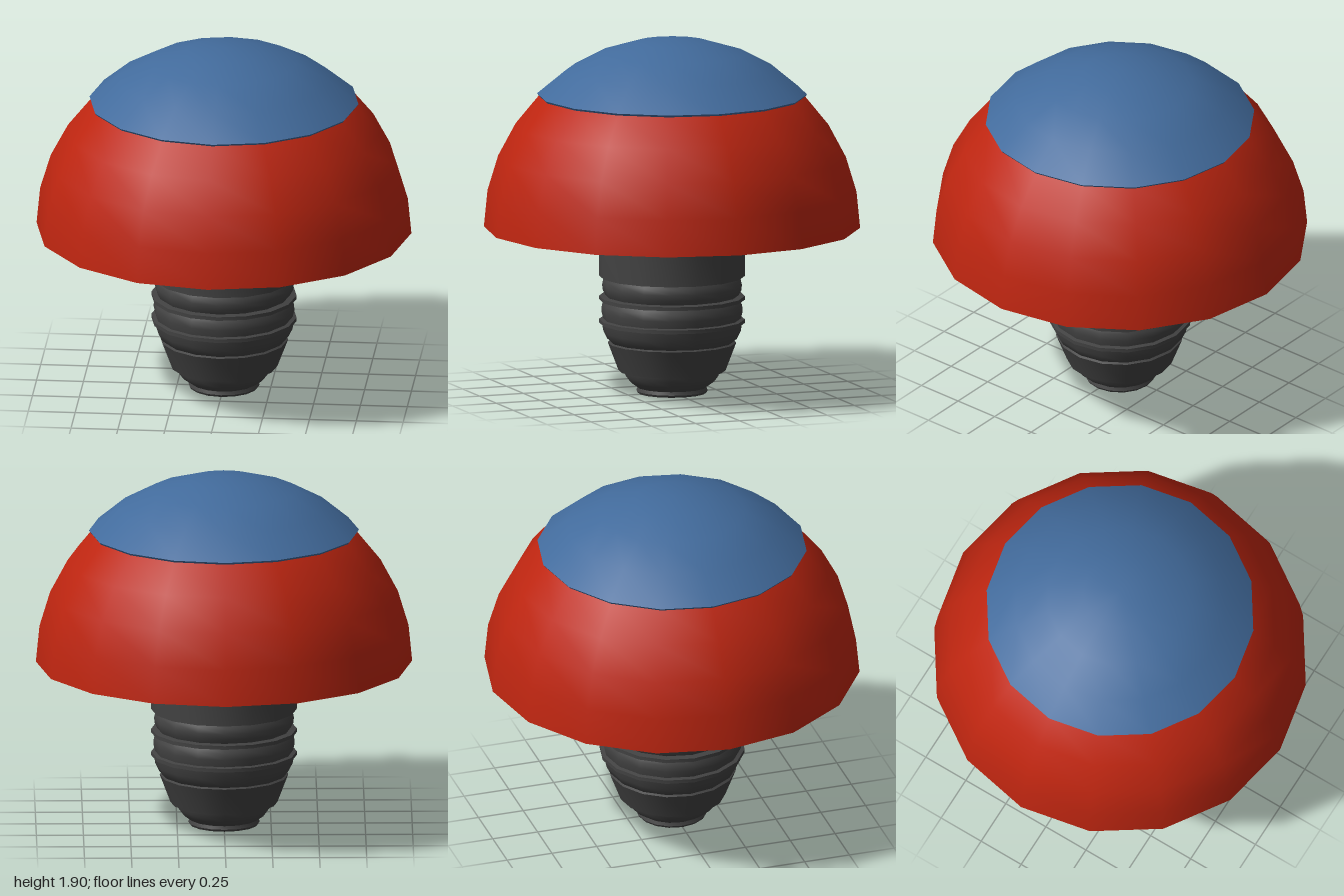
import * as THREE from 'three';
import { toCreasedNormals } from 'three/addons/utils/BufferGeometryUtils.js';

const SIDES = 16;
const DOME_BASE = 0.89;

const red = new THREE.MeshStandardMaterial({ color: 0xbd2510 });
red.name = 'red';
const blue = new THREE.MeshStandardMaterial({ color: 0x426b9c });
blue.name = 'blue';
const charcoal = new THREE.MeshStandardMaterial({ color: 0x424242 });
charcoal.name = 'charcoal';

// Turned part: profile of [radius, y] from bottom to top, sharp only at real edges
function turned(name, profile, material) {
  const points = profile.map(([r, y]) => new THREE.Vector2(r, y));
  const geometry = toCreasedNormals(new THREE.LatheGeometry(points, SIDES), 0.6);
  const mesh = new THREE.Mesh(geometry, material);
  mesh.name = name;
  return mesh;
}

// Spherical profile from a starting elevation step (11.25 degrees each) up to the pole
function arc(radius, firstStep) {
  const points = [];
  for (let i = firstStep; i <= 8; i++) {
    const a = (i * Math.PI) / 16;
    points.push([i === 8 ? 0 : radius * Math.cos(a), DOME_BASE + radius * Math.sin(a)]);
  }
  return points;
}

export function createModel() {
  const model = new THREE.Group();
  model.name = 'domedPlug';

  // Hemisphere with a flat underside
  model.add(turned('dome', [[0, DOME_BASE], ...arc(1, 0)], red));

  // Thin shell over the top of the dome, with a short lip
  model.add(turned('topCap', [[0.7, 1.597], [0.71, 1.597], ...arc(1.015, 4)], blue));

  // Ribbed, tapering stem
  model.add(turned('stem', [
    [0, 0], [0.183, 0], [0.19, 0.012], [0.183, 0.03],    // foot
    [0.19, 0.035], [0.225, 0.06], [0.247, 0.09], [0.255, 0.12], // rounded end
    [0.285, 0.12], [0.342, 0.27], [0.33, 0.277],         // taper
    [0.345, 0.29], [0.365, 0.33], [0.373, 0.375],        // lower bulge
    [0.387, 0.375], [0.387, 0.395], [0.367, 0.4],        // lower ring
    [0.376, 0.44], [0.372, 0.475], [0.355, 0.5],         // middle bulge
    [0.387, 0.5], [0.387, 0.52], [0.355, 0.525],         // upper ring
    [0.368, 0.55], [0.372, 0.58], [0.365, 0.61], [0.352, 0.628], // upper bulge
    [0.387, 0.628], [0.387, DOME_BASE],                  // shaft
  ], charcoal));

  return model;
}
